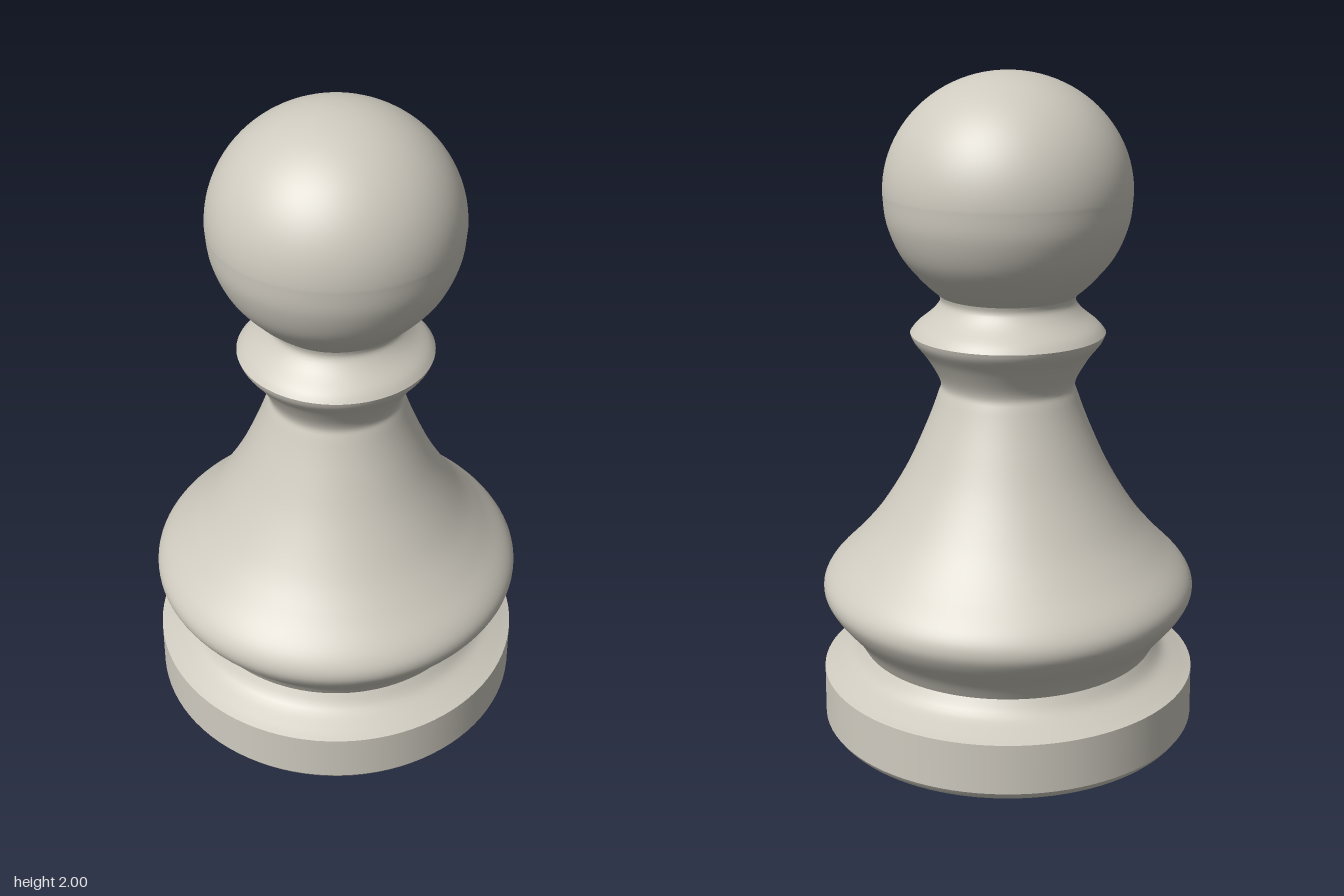
import * as THREE from 'three';

const SEGMENTS = 96;

// Smooth curve through a few [radius, height] points
function smooth(points, divisions) {
  return new THREE.SplineCurve(points.map(([r, y]) => new THREE.Vector2(r, y))).getPoints(divisions);
}

function straight(points) {
  return points.map(([r, y]) => new THREE.Vector2(r, y));
}

export function createModel() {
  const group = new THREE.Group();
  group.name = 'pawn';
  const stone = new THREE.MeshStandardMaterial({ color: 0xcecabf });
  stone.name = 'warm grey';

  // Each part is turned from a bottom-to-top profile; part joins stay crisp
  const turn = (name, profile) => {
    const mesh = new THREE.Mesh(new THREE.LatheGeometry(profile, SEGMENTS), stone);
    mesh.name = name;
    group.add(mesh);
  };

  // Base: shallow conical underside, rounded chamfer, straight rim, cove
  turn('underside', straight([[0, 0], [0.51, 0.035]]));
  turn('baseChamfer', smooth([[0.51, 0.035], [0.545, 0.05], [0.565, 0.075]], 6));
  turn('baseRim', straight([[0.565, 0.075], [0.563, 0.225]]));
  turn('baseCove', smooth([[0.563, 0.225], [0.53, 0.238], [0.475, 0.265], [0.445, 0.305]], 12));

  // Body: bulging skirt tapering to a narrow neck, flaring to the collar edge
  turn('body', smooth([
    [0.445, 0.305], [0.475, 0.355], [0.535, 0.43], [0.558, 0.485], [0.537, 0.54],
    [0.46, 0.62], [0.385, 0.71], [0.305, 0.84], [0.245, 0.97], [0.207, 1.07],
    [0.198, 1.115], [0.235, 1.185], [0.273, 1.235], [0.284, 1.26],
  ], 64));

  // Collar: upper slope curving in beneath the head
  turn('collar', smooth([[0.284, 1.26], [0.265, 1.283], [0.222, 1.318], [0.197, 1.35], [0.199, 1.372]], 14));

  // Head: ball, narrowed slightly towards the collar
  const head = smooth([[0.199, 1.372], [0.247, 1.415], [0.308, 1.49], [0.345, 1.58], [0.355, 1.665]], 24);
  for (let i = 1; i <= 24; i++) {
    const a = (i / 24) * Math.PI / 2;
    head.push(new THREE.Vector2(i === 24 ? 0 : 0.355 * Math.cos(a), 1.665 + 0.335 * Math.sin(a)));
  }
  turn('head', head);

  return group;
}
